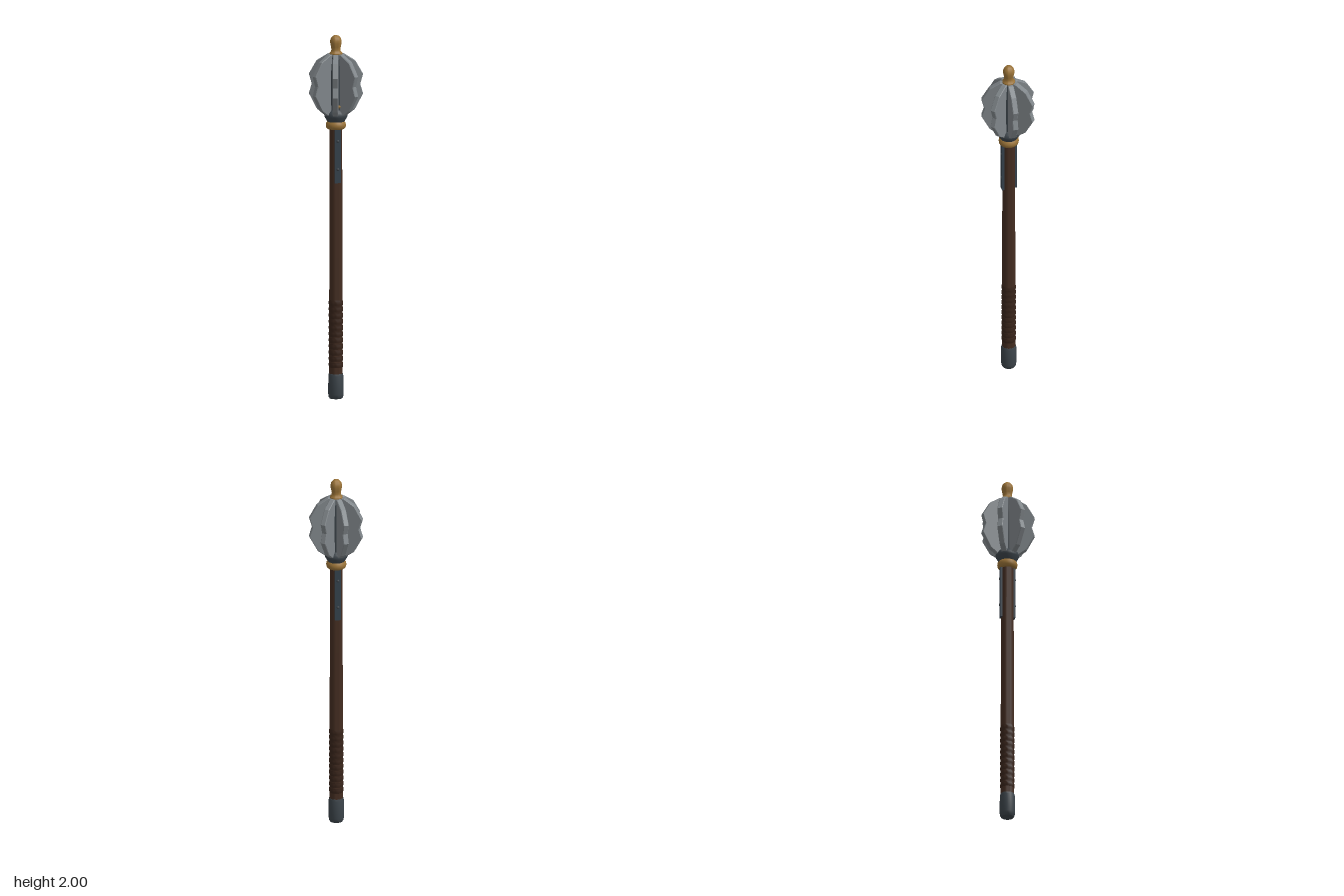
import * as THREE from 'three';
import { toCreasedNormals } from 'three/addons/utils/BufferGeometryUtils.js';

const material = (name, color) => {
  const m = new THREE.MeshStandardMaterial({ color });
  m.name = name;
  return m;
};

export function createModel() {
  const steel = material('flange steel', 0x80868a);
  const darkSteel = material('dark steel', 0x3c444a);
  const blueSteel = material('blued steel', 0x35424d);
  const wood = material('dark wood', 0x442d21);
  const leather = material('grip leather', 0x38241a);
  const brass = material('brass', 0x9a7338);

  const mace = new THREE.Group();
  mace.name = 'mace';
  mace.position.x = -0.006; // seven flanges: the axis sits slightly off the box centre

  const add = (name, geometry, mat, parent = mace) => {
    const mesh = new THREE.Mesh(geometry, mat);
    mesh.name = name;
    parent.add(mesh);
    return mesh;
  };
  // Turned part from [radius, height] pairs, bottom to top
  const turned = (name, points, mat, sides = 24) => add(name, toCreasedNormals(
    new THREE.LatheGeometry(points.map(([r, y]) => new THREE.Vector2(r, y)), sides), 0.7), mat);

  // Shaft with its butt cap
  turned('shaft', [[0.037, 0.12], [0.036, 0.6], [0.034, 1.51]], wood);
  turned('buttCap', [[0, 0], [0.034, 0], [0.039, 0.008], [0.042, 0.025],
    [0.041, 0.125], [0.038, 0.137], [0.03, 0.14]], darkSteel);

  // Grip: shallow wrapped ridges
  const grip = [[0.035, 0.16]];
  for (let i = 0; i < 11; i++) {
    const y = 0.17 + i * 0.034;
    grip.push([0.0365, y], [0.039, y + 0.009], [0.039, y + 0.022], [0.0365, y + 0.031]);
  }
  grip.push([0.035, 0.55]);
  turned('grip', grip, leather);

  // Side straps with rivets, front and back
  for (const side of [1, -1]) {
    const strap = new THREE.Group();
    strap.name = side > 0 ? 'frontStrap' : 'backStrap';
    add('strapPlate', new THREE.BoxGeometry(0.034, 0.31, 0.012).translate(0.003, 1.345, 0.036), blueSteel, strap);
    for (const y of [1.265, 1.42]) {
      const rivet = add('rivet', new THREE.SphereGeometry(0.008, 10, 6), darkSteel, strap);
      rivet.position.set(0.003, y, 0.042);
      rivet.scale.z = 0.7;
    }
    strap.scale.x = side;
    strap.rotation.y = side > 0 ? 0 : Math.PI;
    if (side < 0) strap.scale.x = 1;
    mace.add(strap);
  }

  // Brass ring, collar and core of the head
  turned('neckRing', [[0.03, 1.482], [0.046, 1.484], [0.053, 1.492], [0.055, 1.504],
    [0.053, 1.516], [0.046, 1.525], [0.03, 1.527]], brass);
  turned('collar', [[0.03, 1.52], [0.046, 1.523], [0.062, 1.55], [0.064, 1.562],
    [0.058, 1.575], [0.044, 1.59]], darkSteel);
  turned('headCore', [[0.044, 1.57], [0.046, 1.65], [0.046, 1.8], [0.038, 1.893], [0, 1.895]], darkSteel);

  // Seven notched flanges
  const bevel = 0.003;
  const outline = [[0.025, 1.56], [0.05, 1.556], [0.1, 1.592], [0.145, 1.675],
    [0.129, 1.727], [0.145, 1.782], [0.103, 1.855], [0.046, 1.892], [0.025, 1.892]];
  const flangeShape = new THREE.Shape(outline.map(([x, y]) => new THREE.Vector2(x, y)));
  const flangeGeometry = new THREE.ExtrudeGeometry(flangeShape, {
    depth: 0.024, bevelEnabled: true, bevelSize: bevel, bevelThickness: bevel, bevelSegments: 1,
  }).translate(0, 0, -0.012);
  const flanges = new THREE.Group();
  flanges.name = 'flanges';
  mace.add(flanges);
  for (let i = 0; i < 7; i++) {
    add('flange', flangeGeometry, steel, flanges).rotation.y = i * Math.PI * 2 / 7;
  }

  // Small brass stud on the core between two flanges
  const stud = add('coreStud', new THREE.SphereGeometry(0.008, 10, 6), brass);
  stud.position.set(0.046 * Math.cos(1.346), 1.61, 0.046 * Math.sin(1.346));

  // Brass finial
  turned('finial', [[0, 1.888], [0.035, 1.888], [0.035, 1.9], [0.028, 1.908], [0.024, 1.918], [0.027, 1.935],
    [0.031, 1.955], [0.031, 1.968], [0.027, 1.982], [0.017, 1.994], [0, 2]], brass);

  const root = new THREE.Group();
  root.name = 'flangedMace';
  root.add(mace);
  return root;
}
